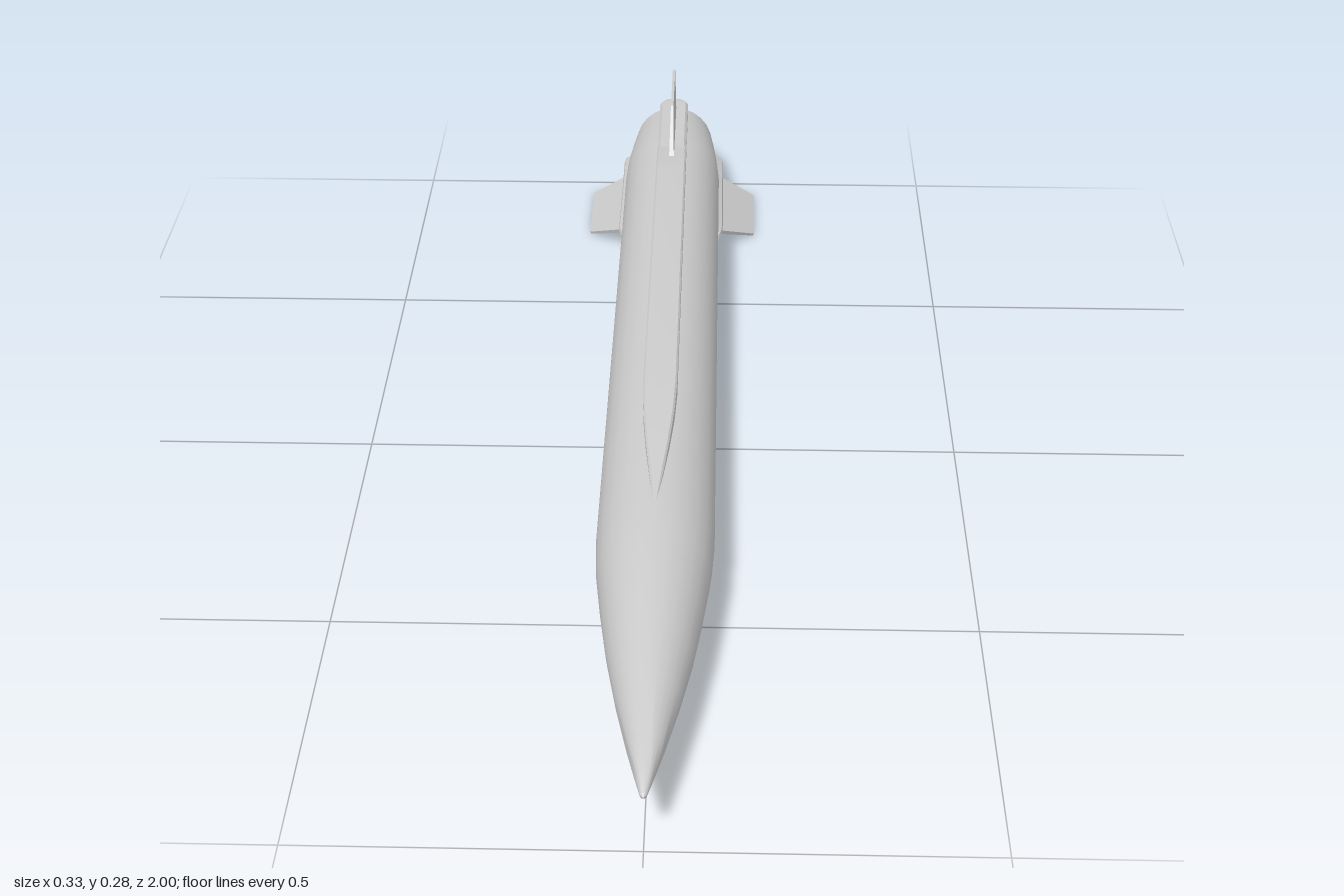
import * as THREE from 'three';
import { toCreasedNormals } from 'three/addons/utils/BufferGeometryUtils.js';

const AXIS_Y = 0.096;
const material = new THREE.MeshStandardMaterial({ color: 0xcccccc });

function part(name, geometry, crease = 0.6) {
  const mesh = new THREE.Mesh(toCreasedNormals(geometry, crease), material);
  mesh.name = name;
  return mesh;
}

// Lofts a chamfered box section along z; each station is [z, halfWidth, topRadius], front to back
function fairingGeometry(stations, base, chamfer) {
  const positions = [], index = [], n = 6;
  for (const [z, w, top] of stations) {
    const c = Math.min(chamfer, w * 0.5);
    const ring = [[-w, base], [-w, top - c], [-w + c, top], [w - c, top], [w, top - c], [w, base]];
    for (const [x, y] of ring) positions.push(x, y, z);
  }
  for (let s = 0; s < stations.length - 1; s++) {
    for (let i = 0; i < n; i++) {
      const j = (i + 1) % n, a = s * n + i, b = s * n + j;
      index.push(a, b, a + n, b, b + n, a + n);
    }
  }
  const last = (stations.length - 1) * n;
  for (let i = 1; i < n - 1; i++) {
    index.push(0, i + 1, i);
    index.push(last, last + i, last + i + 1);
  }
  const g = new THREE.BufferGeometry();
  g.setAttribute('position', new THREE.Float32BufferAttribute(positions, 3));
  g.setIndex(index);
  g.computeVertexNormals();
  return g;
}

// Tapered, swept plate standing on the fairing
function finGeometry() {
  const g = new THREE.BoxGeometry(1, 1, 1);
  const p = g.attributes.position;
  for (let i = 0; i < p.count; i++) {
    const tip = p.getY(i) > 0, front = p.getZ(i) > 0;
    p.setXYZ(i, Math.sign(p.getX(i)) * (tip ? 0.0025 : 0.005),
      tip ? 0.187 : 0.09, front ? (tip ? -0.775 : -0.695) : -0.942);
  }
  g.computeVertexNormals();
  return g;
}

export function createModel() {
  const model = new THREE.Group();
  model.name = 'rocket';
  const rocket = new THREE.Group();
  rocket.name = 'airframe';
  rocket.position.y = AXIS_Y;
  model.add(rocket);

  // Body with hollow exhaust, tail taper and pointed nose: [radius, z]
  const profile = [
    [0, -0.86], [0.045, -0.86], [0.057, -1], [0.076, -1], [0.083, -0.94], [0.089, -0.88], [0.092, -0.83],
    [0.092, 0.42], [0.088, 0.5], [0.077, 0.6], [0.064, 0.7], [0.047, 0.8], [0.027, 0.9],
    [0.015, 0.953], [0.005, 0.995], [0, 1],
  ].map(([r, z]) => new THREE.Vector2(r, z));
  const body = new THREE.LatheGeometry(profile, 24);
  body.rotateX(Math.PI / 2);
  rocket.add(part('body', body));

  // Fin fairing with rounded ends
  const w = 0.028, pad = [];
  for (let i = 0; i <= 5; i++) {
    const a = (i / 5) * Math.PI / 2;
    pad.push([-0.64 - 0.04 * (1 - Math.cos(a)), Math.max(0.002, w * Math.sin(a)), 0.094 + 0.009 * Math.sin(a)]);
  }
  for (let i = 0; i <= 5; i++) {
    const a = (i / 5) * Math.PI / 2;
    pad.push([-0.965 - 0.027 * Math.sin(a), Math.max(0.006, w * Math.cos(a)), 0.103 - 0.004 * (1 - Math.cos(a))]);
  }

  // Three fins with their fairings, 120 degrees apart
  ['top', 'right', 'left'].forEach((side, i) => {
    const assembly = new THREE.Group();
    assembly.name = side + 'FinAssembly';
    assembly.add(part('finFairing', fairingGeometry(pad, 0.066, 0.005)));
    assembly.add(part('fin', finGeometry(), 0.2));
    assembly.rotation.z = i * 2 * Math.PI / 3;
    rocket.add(assembly);
  });

  // Long dorsal raceway, ramping up from the nose and down to the top fin
  const raceway = [
    [0.44, 0.001, 0.09], [0.36, 0.011, 0.0985], [0.28, 0.019, 0.106], [0.2, 0.025, 0.112],
    [0.12, w, 0.117], [-0.64, w, 0.117], [-0.7, w, 0.111], [-0.77, w, 0.1025],
  ];
  rocket.add(part('dorsalRaceway', fairingGeometry(raceway, 0.066, 0.003)));

  return model;
}
